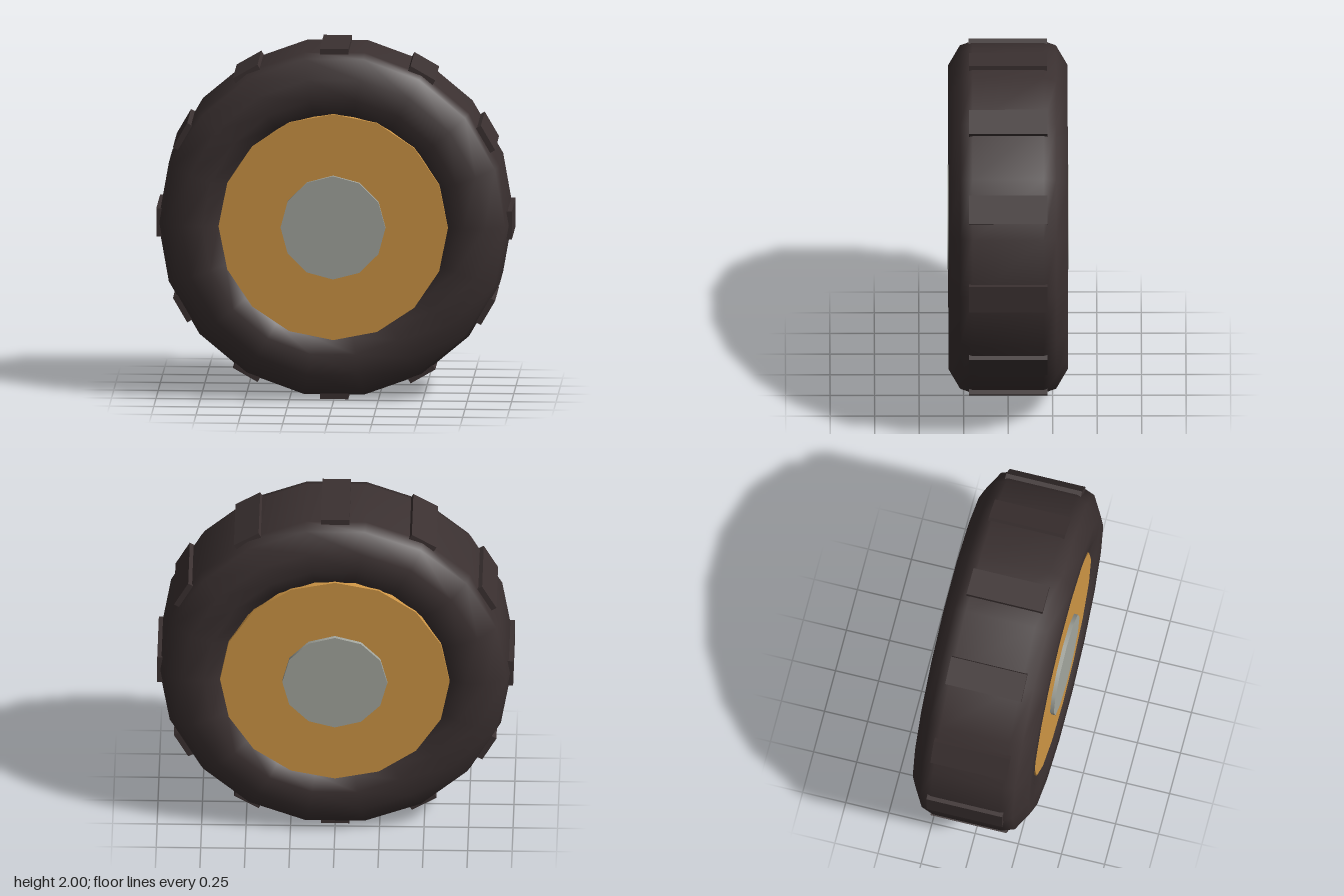
import * as THREE from 'three';

export function createModel() {
  const rubber = new THREE.MeshStandardMaterial({ color: 0x3b3131 });
  rubber.name = 'dark rubber';
  const rimPaint = new THREE.MeshStandardMaterial({ color: 0xcf9645 });
  rimPaint.name = 'orange rim';
  const metal = new THREE.MeshStandardMaterial({ color: 0xa4a79f });
  metal.name = 'grey metal';

  const wheel = new THREE.Group();
  wheel.name = 'wheel';
  wheel.position.y = 1;

  const add = (name, geometry, material, parent = wheel) => {
    const mesh = new THREE.Mesh(geometry, material);
    mesh.name = name;
    parent.add(mesh);
    return mesh;
  };

  // Tyre: rounded half profile (radius, depth), mirrored and turned about the axle
  const half = [[0.99, 0.2], [0.965, 0.27], [0.855, 0.335], [0.735, 0.335], [0.645, 0.3], [0.59, 0.2]];
  const profile = [
    ...half.map(([r, z]) => [r, -z]).reverse(),
    ...half,
    [0.59, -0.2],
  ].map(([r, z]) => new THREE.Vector2(r, z));
  const tyre = new THREE.LatheGeometry(profile, 18, Math.PI / 2);
  tyre.rotateX(Math.PI / 2);
  add('tyre', tyre, rubber);

  // Rim and hub: plain discs showing on both sides
  const disc = (radius, depth, sides) =>
    new THREE.CylinderGeometry(radius, radius, depth, sides).rotateX(Math.PI / 2);
  add('rim', disc(0.645, 0.636, 16), rimPaint);
  add('hub', disc(0.295, 0.68, 12), metal);

  // Tread: twelve blocks around the tyre
  const treads = new THREE.Group();
  treads.name = 'treads';
  wheel.add(treads);
  const block = new THREE.BoxGeometry(0.16, 0.06, 0.44).translate(0, 0.967, 0);
  for (let i = 0; i < 12; i++) {
    add('treadBlock', block, rubber, treads).rotation.z = (i * Math.PI) / 6;
  }
  treads.scale.set(1 / 0.997, 1 / 0.997, 1);

  const model = new THREE.Group();
  model.name = 'model';
  model.add(wheel);
  return model;
}
